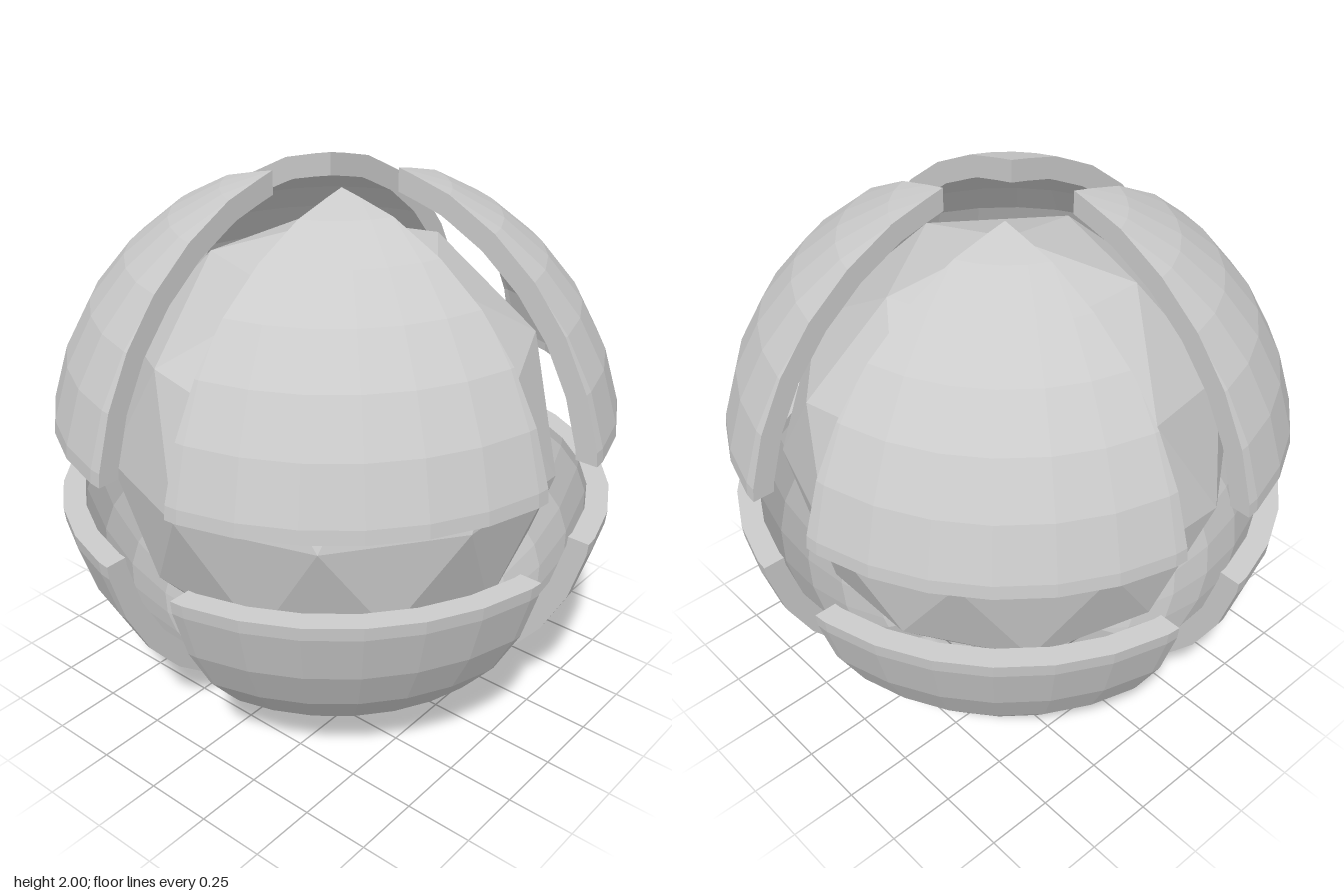
import * as THREE from 'three';

const OUTER = 1.0235, INNER = 0.943, GAP = 0.15, CORE = 0.827;
const material = new THREE.MeshStandardMaterial({ color: 0xcccccc, flatShading: true });

// Keep the part of a polygon beyond GAP on one axis
function clip(poly, axis) {
  const out = [];
  poly.forEach((a, i) => {
    const b = poly[(i + 1) % poly.length];
    const da = a[axis] - GAP, db = b[axis] - GAP;
    if (da >= 0) out.push(a);
    if (da * db < 0) {
      const t = da / (da - db);
      const p = a.map((v, k) => v + (b[k] - v) * t);
      p[axis] = GAP;
      out.push(p);
    }
  });
  return out;
}

// Faceted sphere octant (32 x 16 segments) trimmed by the three gap planes
function octantFaces(radius) {
  const step = Math.PI / 16, faces = [];
  const at = (i, j) => [
    radius * Math.cos(i * step) * Math.sin(j * step),
    radius * Math.sin(i * step),
    radius * Math.cos(i * step) * Math.cos(j * step),
  ];
  for (let i = 0; i < 8; i++) {
    for (let j = 0; j < 8; j++) {
      let poly = [at(i, j), at(i, j + 1), at(i + 1, j + 1), at(i + 1, j)];
      for (let axis = 0; axis < 3; axis++) poly = clip(poly, axis);
      if (poly.length > 2) faces.push(poly);
    }
  }
  return faces;
}

// Points of the trimmed octant lying on one gap plane, ordered by angle
function rimPoints(faces, axis) {
  const u = (axis + 1) % 3, v = (axis + 2) % 3;
  const pts = faces.flat()
    .filter(p => Math.abs(p[axis] - GAP) < 1e-6)
    .map(p => new THREE.Vector2(p[u], p[v]))
    .sort((a, b) => a.angle() - b.angle());
  return pts.filter((p, i) => i === 0 || p.distanceTo(pts[i - 1]) > 1e-5);
}

// All triangles of one solid shell panel in the +x +y +z octant
function panelTriangles() {
  const tris = [];
  const outer = octantFaces(OUTER), inner = octantFaces(INNER);
  const fan = (poly, flip) => {
    for (let i = 1; i < poly.length - 1; i++) {
      tris.push(flip ? [poly[0], poly[i + 1], poly[i]] : [poly[0], poly[i], poly[i + 1]]);
    }
  };
  outer.forEach(p => fan(p, false));
  inner.forEach(p => fan(p, true));

  // Flat cut faces joining the outer and inner skins
  for (let axis = 0; axis < 3; axis++) {
    const contour = [...rimPoints(outer, axis), ...rimPoints(inner, axis).reverse()];
    for (const t of THREE.ShapeUtils.triangulateShape(contour, [])) {
      const flat = t.map(i => contour[i]);
      if (THREE.ShapeUtils.area(flat) > 0) flat.reverse();
      tris.push(flat.map(q => {
        const p = [0, 0, 0];
        p[axis] = GAP;
        p[(axis + 1) % 3] = q.x;
        p[(axis + 2) % 3] = q.y;
        return p;
      }));
    }
  }
  return tris;
}

// Mirror the panel into another octant, keeping faces outward
function mirroredPanel(tris, signs) {
  const odd = signs[0] * signs[1] * signs[2] < 0;
  const coords = tris.flatMap(t => (odd ? [t[0], t[2], t[1]] : t))
    .flatMap(p => p.map((v, k) => v * signs[k]));
  const geometry = new THREE.BufferGeometry();
  geometry.setAttribute('position', new THREE.Float32BufferAttribute(coords, 3));
  geometry.computeVertexNormals();
  return geometry;
}

export function createModel() {
  const group = new THREE.Group();
  group.name = 'splitShellSphere';

  // Faceted core with a vertex at each pole
  const coreGeometry = new THREE.IcosahedronGeometry(CORE, 1);
  coreGeometry.rotateZ(-Math.atan(2 / (1 + Math.sqrt(5))));
  const core = new THREE.Mesh(coreGeometry, material);
  core.name = 'core';
  core.position.y = 1;
  group.add(core);

  // Eight shell panels separated by crossing gaps
  const tris = panelTriangles();
  for (const x of [1, -1]) for (const y of [1, -1]) for (const z of [1, -1]) {
    const panel = new THREE.Mesh(mirroredPanel(tris, [x, y, z]), material);
    panel.name = `shellPanel${y > 0 ? 'Upper' : 'Lower'}${z > 0 ? 'Front' : 'Back'}${x > 0 ? 'Left' : 'Right'}`;
    panel.position.y = 1;
    group.add(panel);
  }
  return group;
}
